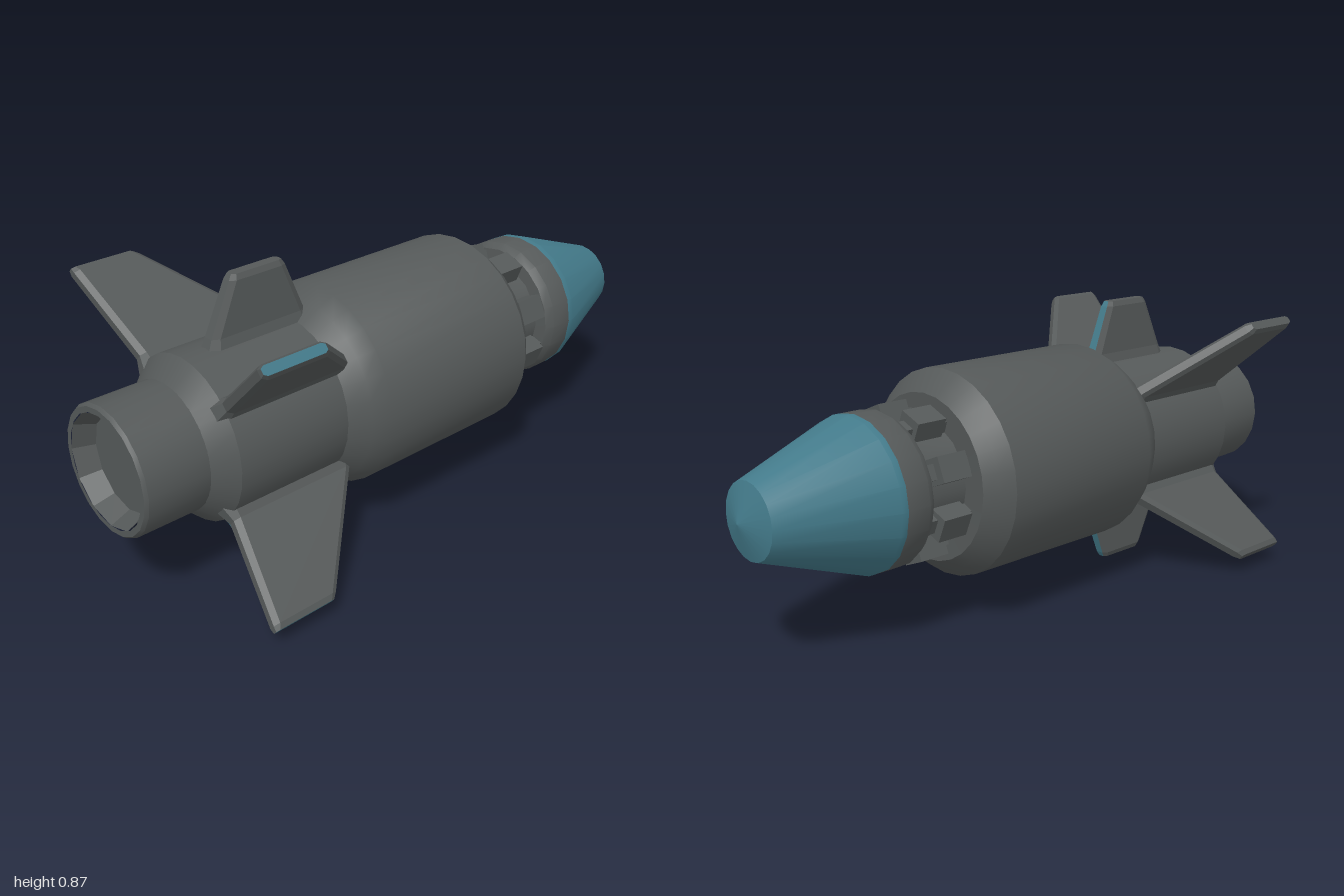
import * as THREE from 'three';
import { toCreasedNormals } from 'three/addons/utils/BufferGeometryUtils.js';

const grey = new THREE.MeshStandardMaterial({ color: 0x555959 });
grey.name = 'dark grey';
const teal = new THREE.MeshStandardMaterial({ color: 0x437a8a });
teal.name = 'teal';

// Turned part along z; profile is [radius, z] from the nose towards the tail
function turned(name, profile, sides, material, crease = 0.6) {
  const points = profile.map(([r, z]) => new THREE.Vector2(r, z));
  const geometry = new THREE.LatheGeometry(points, sides).rotateX(Math.PI / 2);
  const mesh = new THREE.Mesh(toCreasedNormals(geometry, crease), material);
  mesh.name = name;
  return mesh;
}

// Fin pointing along +y, lofted through rows of [radius, leading z, trailing z, half thickness]
// painted lists the faces in teal: 2 = leading edge, 6 = trailing edge, 8 = tip
function fin(name, rows, angle, painted) {
  const rings = rows.map(([r, lead, trail, h]) => {
    const e = h * 0.55, c = h * 0.8;
    return [
      [h, trail - c], [h, lead + c], [e, lead], [-e, lead],
      [-h, lead + c], [-h, trail - c], [-e, trail], [e, trail],
    ].map(([x, z]) => [x, r, z]);
  });
  const positions = [];
  const geometry = new THREE.BufferGeometry();
  const last = rings.length - 1;
  for (let side = 0; side <= 8; side++) {
    const start = positions.length / 3;
    if (side === 8) {
      for (let i = 1; i < 7; i++) positions.push(...rings[last][0], ...rings[last][i], ...rings[last][i + 1]);
    } else {
      for (let k = 0; k < last; k++) {
        const next = (side + 1) % 8;
        const a = rings[k][side], b = rings[k][next];
        const c = rings[k + 1][next], d = rings[k + 1][side];
        positions.push(...a, ...b, ...c, ...a, ...c, ...d);
      }
    }
    // The painted edges start above the root fillet
    const count = positions.length / 3 - start;
    if (painted.includes(side) && side !== 8) {
      geometry.addGroup(start, 6, 0);
      geometry.addGroup(start + 6, count - 6, 1);
    } else {
      geometry.addGroup(start, count, painted.includes(side) ? 1 : 0);
    }
  }
  geometry.setAttribute('position', new THREE.Float32BufferAttribute(positions, 3));
  geometry.computeVertexNormals();
  const mesh = new THREE.Mesh(geometry, [grey, teal]);
  mesh.name = name;
  mesh.rotation.z = angle;
  return mesh;
}

export function createModel() {
  const model = new THREE.Group();
  model.name = 'rocket';
  const rocket = new THREE.Group();
  rocket.name = 'rocketAssembly';
  rocket.position.y = 0.44;
  model.add(rocket);

  // Nose cone and its collar
  rocket.add(turned('noseCone', [[0, -1], [0.11, -0.965], [0.228, -0.64], [0.228, -0.62]], 20, teal, 0.35));
  rocket.add(turned('noseCollar', [[0, -0.525], [0.21, -0.525]].reverse().length ? [
    [0.228, -0.62], [0.228, -0.545], [0.212, -0.52], [0.16, -0.515],
  ] : [], 20, grey));

  // Recessed neck with a ring of clamp blocks
  rocket.add(turned('neck', [[0.175, -0.53], [0.165, -0.45], [0.175, -0.36]], 16, grey));
  for (let i = 0; i < 8; i++) {
    const clamp = new THREE.Group();
    clamp.name = 'clamp';
    clamp.rotation.z = (i + 0.5) * Math.PI / 4;
    const block = new THREE.Mesh(new THREE.BoxGeometry(0.075, 0.06, 0.1), grey);
    block.name = 'clampBlock';
    block.position.set(0, 0.2, -0.445);
    const foot = new THREE.Mesh(new THREE.BoxGeometry(0.045, 0.04, 0.16), grey);
    foot.name = 'clampFoot';
    foot.position.set(0, 0.185, -0.445);
    clamp.add(block, foot);
    rocket.add(clamp);
  }

  // Main body, narrowing to the tail section
  rocket.add(turned('body', [
    [0.15, -0.37], [0.25, -0.375], [0.28, -0.345], [0.312, -0.305], [0.312, 0.265],
    [0.285, 0.315], [0.245, 0.37], [0.245, 0.74], [0.19, 0.8],
  ], 28, grey));

  // Nozzle with a shallow recess
  rocket.add(turned('nozzle', [[0.19, 0.78], [0.19, 0.99], [0.183, 1], [0.166, 1]], 20, grey));
  rocket.add(turned('nozzleRecess', [[0.166, 1], [0.142, 0.94], [0, 0.94]], 12, grey, 0.3));

  // Four long diagonal fins
  const longFin = [
    [0.2, 0.31, 0.77, 0.042], [0.265, 0.335, 0.75, 0.023],
    [0.56, 0.585, 0.8, 0.021], [0.576, 0.6, 0.8, 0.014],
  ];
  const spread = THREE.MathUtils.degToRad(48.5);
  rocket.add(fin('upperLeftFin', longFin, -spread, [8]));
  rocket.add(fin('lowerLeftFin', longFin, -(Math.PI - spread), [8]));
  rocket.add(fin('upperRightFin', longFin, spread, []));
  rocket.add(fin('lowerRightFin', longFin, Math.PI - spread, []));

  // Two short upright fins
  const shortFin = [
    [0.2, 0.3, 0.68, 0.045], [0.27, 0.33, 0.65, 0.027],
    [0.42, 0.39, 0.58, 0.023], [0.436, 0.4, 0.57, 0.016],
  ];
  rocket.add(fin('topFin', shortFin, 0, [2]));
  rocket.add(fin('bottomFin', shortFin, Math.PI, [2, 6]));

  return model;
}
